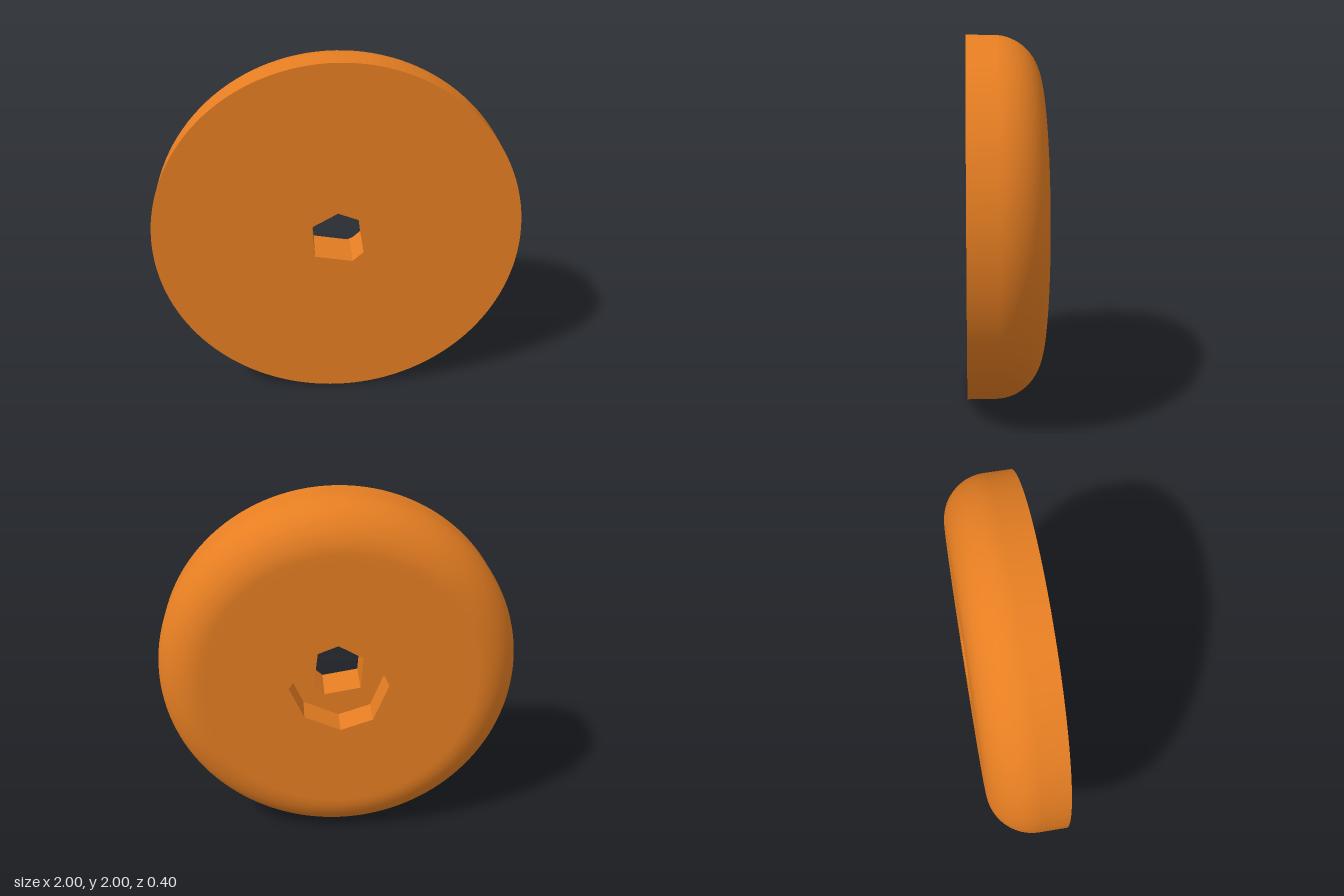
import * as THREE from 'three';

const SEG = 128;
const FRONT = 0.2, BACK = -0.2, FLOOR = -0.03, EDGE = 0.25;

// Irregular six-sided through hole and eight-sided recess, counter-clockwise from the front
const boreOutline = [[0, 0.165], [-0.14, 0.085], [-0.125, -0.1], [0.08, -0.135], [0.14, -0.08], [0.115, 0.12]];
const recessOutline = [[0.28, 0], [0.14, 0.235], [-0.01, 0.275], [-0.18, 0.185],
  [-0.265, 0], [-0.18, -0.21], [0, -0.27], [0.2, -0.18]];

const toPoints = (list) => list.map(([x, y]) => new THREE.Vector2(x, y));

function circle(radius) {
  return Array.from({ length: SEG }, (_, i) => {
    const a = (i / SEG) * Math.PI * 2;
    return new THREE.Vector2(Math.cos(a) * radius, Math.sin(a) * radius);
  });
}

// Flat plate with a hole; facesBack turns it towards -z
function plate(outline, hole, z, facesBack) {
  const shape = new THREE.Shape(outline);
  shape.holes.push(new THREE.Path(hole));
  const geo = new THREE.ShapeGeometry(shape);
  if (facesBack) {
    const index = geo.index.array;
    for (let i = 0; i < index.length; i += 3) [index[i], index[i + 1]] = [index[i + 1], index[i]];
    geo.computeVertexNormals();
  }
  return geo.translate(0, 0, z);
}

// Faceted wall facing inwards around an outline
function innerWall(outline, z0, z1) {
  const pos = [];
  outline.forEach((a, i) => {
    const b = outline[(i + 1) % outline.length];
    pos.push(a.x, a.y, z0, b.x, b.y, z1, b.x, b.y, z0);
    pos.push(a.x, a.y, z0, a.x, a.y, z1, b.x, b.y, z1);
  });
  const geo = new THREE.BufferGeometry();
  geo.setAttribute('position', new THREE.Float32BufferAttribute(pos, 3));
  geo.computeVertexNormals();
  return geo;
}

export function createModel() {
  const group = new THREE.Group();
  group.name = 'roundedWheel';
  const material = new THREE.MeshStandardMaterial({ color: 0xe67e22 });
  const add = (name, geo) => {
    const mesh = new THREE.Mesh(geo, material);
    mesh.name = name;
    mesh.position.y = 1;
    group.add(mesh);
  };

  const bore = toPoints(boreOutline);
  const recess = toPoints(recessOutline);

  // Rim: flat back, quarter-round shoulder, straight side
  const inner = 1 - EDGE - 0.05;
  const profile = [new THREE.Vector2(inner, BACK)];
  for (let i = 0; i <= 16; i++) {
    const a = (i / 16) * Math.PI / 2;
    profile.push(new THREE.Vector2(1 - EDGE + Math.sin(a) * EDGE, BACK + EDGE - Math.cos(a) * EDGE));
  }
  profile.push(new THREE.Vector2(1, FRONT));
  add('rim', new THREE.LatheGeometry(profile, SEG).rotateX(Math.PI / 2));

  // Faces
  add('frontFace', plate(circle(1), bore, FRONT, false));
  add('backFace', plate(circle(inner), recess, BACK, true));

  // Hub recess and through hole
  add('recessFloor', plate(recess, bore, FLOOR, true));
  add('recessWall', innerWall(recess, BACK, FLOOR));
  add('boreWall', innerWall(bore, FLOOR, FRONT));

  return group;
}
